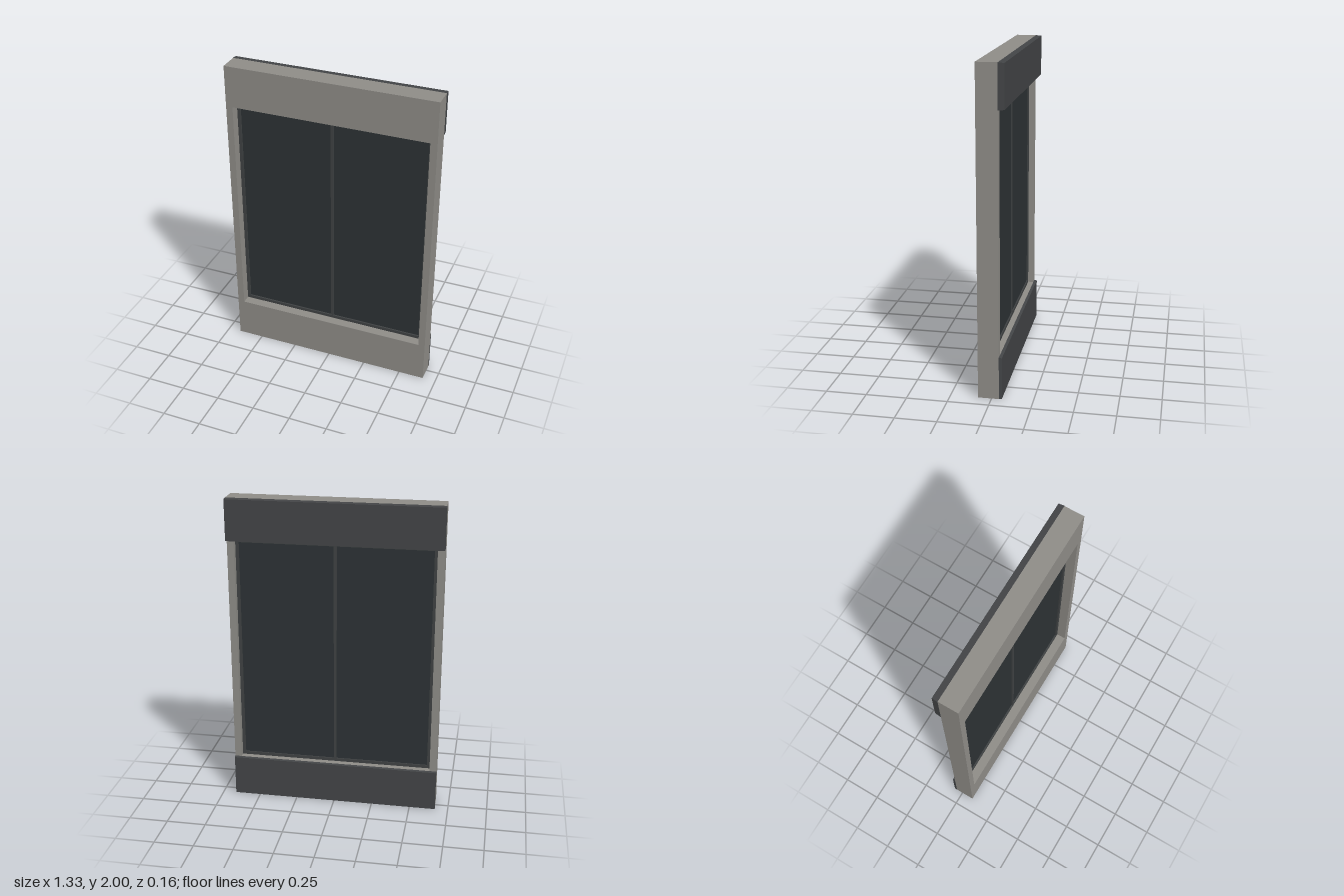
import * as THREE from 'three';

const mat = (color) => new THREE.MeshStandardMaterial({ color });

// Rectangle outline from corner coordinates
function rect(Type, x0, y0, x1, y1) {
  const p = new Type();
  p.moveTo(x0, y0);
  p.lineTo(x1, y0);
  p.lineTo(x1, y1);
  p.lineTo(x0, y1);
  p.closePath();
  return p;
}

// Rectangular ring extruded from z0 to z1
function ring(outer, inner, z0, z1) {
  const shape = rect(THREE.Shape, ...outer);
  shape.holes.push(rect(THREE.Path, ...inner));
  const geo = new THREE.ExtrudeGeometry(shape, { depth: z1 - z0, bevelEnabled: false });
  return geo.translate(0, 0, z0);
}

// Box given by its min and max corners
function block(x0, y0, z0, x1, y1, z1) {
  const geo = new THREE.BoxGeometry(x1 - x0, y1 - y0, z1 - z0);
  return geo.translate((x0 + x1) / 2, (y0 + y1) / 2, (z0 + z1) / 2);
}

// Cladding slab with a fine chamfer around its back face
function slab(x, y0, y1, zFront, zBack) {
  const c = 0.006;
  const geo = block(-x, y0, zBack, x, y1, zFront);
  const pos = geo.attributes.position;
  const mid = (y0 + y1) / 2;
  for (let i = 0; i < pos.count; i++) {
    if (pos.getZ(i) > (zFront + zBack) / 2) continue;
    pos.setX(i, pos.getX(i) - Math.sign(pos.getX(i)) * c * 0.5);
    pos.setY(i, pos.getY(i) - Math.sign(pos.getY(i) - mid) * c * 0.5);
  }
  geo.computeVertexNormals();
  return geo;
}

export function createModel() {
  const group = new THREE.Group();
  const wallMat = mat(0x8f8d88);
  const sashMat = mat(0x3f4243);
  const glassMat = mat(0x2d3235);
  const panelMat = mat(0x434547);

  const add = (name, geo, material) => {
    const mesh = new THREE.Mesh(geo, material);
    mesh.name = name;
    group.add(mesh);
  };

  const W = 0.665, openX = 0.622, openY0 = 0.268, openY1 = 1.737;
  const sash = 0.02;

  // Surround with the window opening
  add('surround', ring([-W, 0, W, 2], [-openX, openY0, openX, openY1], -0.045, 0.082), wallMat);

  // Thin window frame set inside the opening
  add('windowFrame', ring(
    [-openX, openY0, openX, openY1],
    [-openX + sash, openY0 + sash, openX - sash, openY1 - sash],
    -0.008, 0.022), sashMat);

  // Central mullion
  add('mullion', block(-0.009, openY0 + sash, -0.006, 0.009, openY1 - sash, 0.02), sashMat);

  // Two panes
  for (const s of [-1, 1]) {
    const a = s * 0.009, b = s * (openX - sash);
    add(s > 0 ? 'leftPane' : 'rightPane',
      block(Math.min(a, b), openY0 + sash, 0, Math.max(a, b), openY1 - sash, 0.012), glassMat);
  }

  // Cladding slabs on the back, the upper one thicker
  add('upperPanel', slab(W + 0.002, openY1, 2, -0.045, -0.082), panelMat);
  add('lowerPanel', slab(W + 0.002, 0, openY0, -0.045, -0.063), panelMat);

  return group;
}
